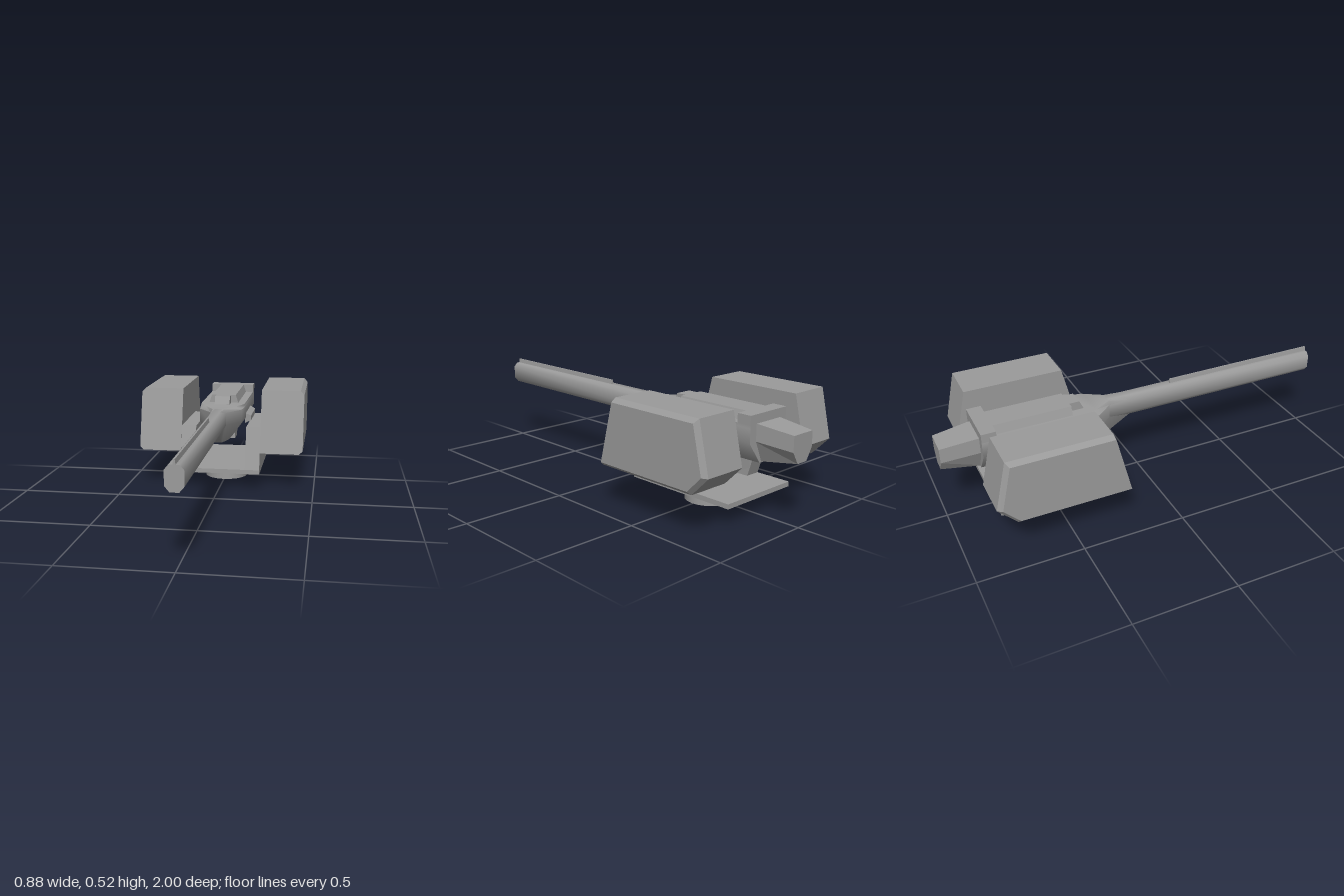
import * as THREE from 'three';
import { toCreasedNormals } from 'three/addons/utils/BufferGeometryUtils.js';

const material = new THREE.MeshStandardMaterial({ color: 0x9b9b9b });
const openMaterial = new THREE.MeshStandardMaterial({ color: 0x9b9b9b, side: THREE.DoubleSide });

// Closed solid through rings of [x, y, z]; each ring runs counter-clockwise seen from the last ring's side.
// Edges sharper than the crease angle stay hard.
function loft(rings, crease) {
  const pos = [];
  const tri = (a, b, c) => pos.push(...a, ...b, ...c);
  const n = rings[0].length;
  for (let r = 0; r < rings.length - 1; r++) {
    const a = rings[r], b = rings[r + 1];
    for (let i = 0; i < n; i++) {
      const j = (i + 1) % n;
      tri(a[i], a[j], b[j]);
      tri(a[i], b[j], b[i]);
    }
  }
  const first = rings[0], last = rings[rings.length - 1];
  for (let i = 1; i < n - 1; i++) {
    tri(first[0], first[i + 1], first[i]);
    tri(last[0], last[i], last[i + 1]);
  }
  const g = new THREE.BufferGeometry();
  g.setAttribute('position', new THREE.Float32BufferAttribute(pos, 3));
  return toCreasedNormals(g, crease);
}

// Symmetric ring at depth z from its +x half, listed bottom to top.
const ring = (z, half) => [
  ...half.map(([x, y]) => [x, y, z]),
  ...half.slice().reverse().map(([x, y]) => [-x, y, z]),
];
const alongZ = (crease, ...sections) => loft(sections.map(([z, half]) => ring(z, half)), crease);

// Solid across x from [z, y] profiles; side -1 mirrors it.
function alongX(side, ...sections) {
  const rings = sections.map(([x, prof]) => prof.map(([z, y]) => [side * x, y, z]));
  return loft(side > 0 ? rings : rings.reverse(), HARD);
}

const HARD = 0.1;
const SOFT = 0.92;

export function createModel() {
  const model = new THREE.Group();
  const add = (name, geometry, x = 0, y = 0, z = 0, mat = material) => {
    const mesh = new THREE.Mesh(geometry, mat);
    mesh.name = name;
    mesh.position.set(x, y, z);
    model.add(mesh);
  };

  // Mount: open ring and base plate
  add('mountRing', new THREE.CylinderGeometry(0.116, 0.116, 0.08, 40, 1, true), 0, 0.04, -0.497, openMaterial);
  add('basePlate', new THREE.BoxGeometry(0.424, 0.023, 0.58), 0, 0.0905, -0.5);

  // Side brackets and armoured pods
  const bracket = [[-0.21, 0.102], [-0.61, 0.102], [-0.68, 0.323], [-0.268, 0.323]];
  const pod = [[-0.229, 0.19], [-0.768, 0.19], [-0.857, 0.28], [-0.803, 0.516], [-0.312, 0.516]];
  const podOuter = [[-0.233, 0.207], [-0.76, 0.207], [-0.835, 0.283], [-0.787, 0.496], [-0.307, 0.496]];
  for (const side of [1, -1]) {
    const label = side > 0 ? 'left' : 'right';
    add(label + 'Bracket', alongX(side, [0.135, bracket], [0.212, bracket]));
    add(label + 'Pod', alongX(side, [0.212, pod], [0.418, pod], [0.438, podOuter]));
  }

  // Receiver, narrowing forwards into the neck under the barrel
  add('receiver', alongZ(SOFT,
    [-0.82, [[0.05, 0.257], [0.121, 0.355], [0.121, 0.42], [0.121, 0.435]]],
    [-0.34, [[0.05, 0.257], [0.121, 0.355], [0.121, 0.42], [0.117, 0.435]]],
    [-0.25, [[0.044, 0.257], [0.112, 0.353], [0.112, 0.42], [0.08, 0.435]]],
    [-0.165, [[0.018, 0.257], [0.039, 0.35], [0.039, 0.416], [0.03, 0.435]]],
    [-0.05, [[0.018, 0.325], [0.038, 0.35], [0.038, 0.414], [0.019, 0.434]]],
  ));

  // Octagonal barrel with a thin sight rail
  const bore = [[0.019, 0.325], [0.04, 0.35], [0.04, 0.414], [0.021, 0.435]];
  add('barrel', alongZ(SOFT, [-0.17, bore], [1, bore]));
  const rail = [[0.007, 0.43], [0.003, 0.456]];
  add('sightRail', alongZ(HARD, [0.18, rail], [1, rail]));

  // Raised top cover: rear block, sloped spine and front nub
  add('coverRear', new THREE.BoxGeometry(0.242, 0.044, 0.07), 0, 0.455, -0.785);
  const spine = [[0.08, 0.432], [0.065, 0.477]];
  add('coverSpine', alongZ(HARD, [-0.76, spine], [-0.37, spine]));
  const nub = [[0.04, 0.432], [0.04, 0.477]];
  const nubTip = [[0.04, 0.432], [0.04, 0.436]];
  add('coverNub', alongZ(HARD, [-0.38, nub], [-0.32, nub], [-0.3, nubTip]));

  // Rear housing, flat on top and tapering backwards
  add('rearHousing', alongZ(HARD,
    [-1, [[0.03, 0.29], [0.064, 0.345], [0.064, 0.417]]],
    [-0.81, [[0.04, 0.26], [0.081, 0.358], [0.081, 0.437]]],
  ));

  // Lower block and the left side bulge
  add('lowerBlock', new THREE.BoxGeometry(0.07, 0.08, 0.1), 0, 0.227, -0.65);
  add('sideBulge', alongX(1,
    [0.118, [[-0.37, 0.325], [-0.615, 0.325], [-0.615, 0.38], [-0.37, 0.38]]],
    [0.149, [[-0.385, 0.338], [-0.6, 0.338], [-0.6, 0.364], [-0.385, 0.364]]],
  ));

  return model;
}
